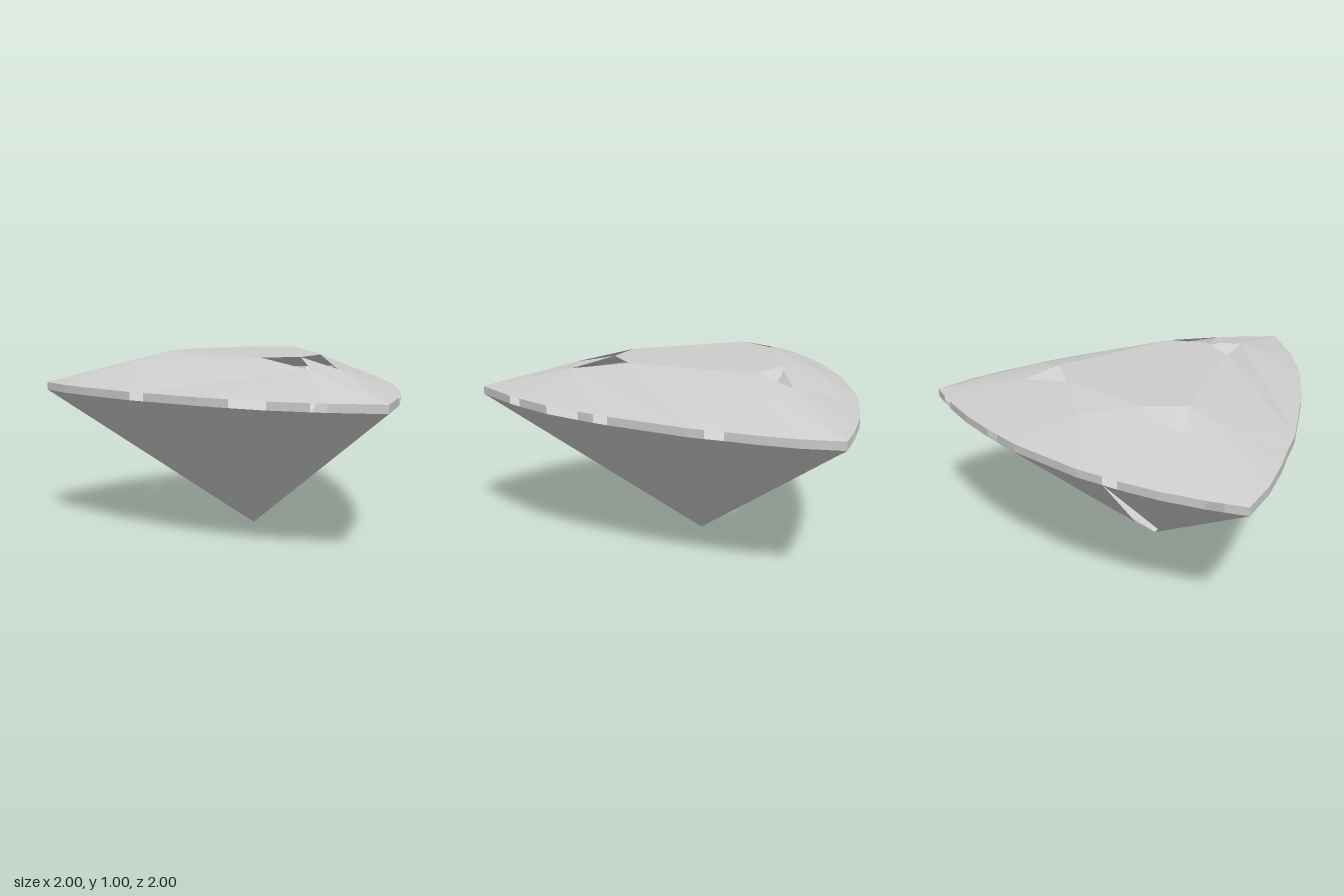
import * as THREE from 'three';

const TOP = 0.83, BOTTOM = 0.787;

// half of the girdle outline from back centre to front tip: x, z
const half = [
  [0, -1], [0.2, -1], [0.34, -0.98], [0.42, -0.97], [0.62, -0.93], [0.82, -0.87], [0.9, -0.84],
  [1, -0.8], [0.97, -0.6], [0.91, -0.4], [0.86, -0.27], [0.83, -0.18], [0.8, -0.1], [0.76, -0.02],
  [0.7, 0.1], [0.61, 0.28], [0.57, 0.35], [0.52, 0.43], [0.41, 0.6], [0.27, 0.76], [0.21, 0.82], [0, 1],
];
const outline = [...half, ...half.slice(1, -1).reverse().map(([x, z]) => [-x, z])];
const N = outline.length;

// open girdle segments, on both sides or on one side only
const gaps = new Set([10, 15, N - 1 - 12]);
for (const i of [2, 5, 17, 19]) gaps.add(i).add(N - 1 - i);

// main facets meet the girdle here; one table corner belongs to each
const mains = [2, 7, 12, 21, 30, 35, 40];
const tableCorners = [[0.24, -0.59], [0.42, -0.45], [0.19, 0.19], [0, 0.28], [-0.19, 0.19], [-0.42, -0.45], [-0.24, -0.59]]
  .map(([x, z]) => new THREE.Vector3(x, 1, z));
const starTips = [[0.52, 0.95, -0.62], [0.6, 0.96, -0.45], [0.08, 0.95, 0.5], [-0.08, 0.95, 0.5],
  [-0.6, 0.96, -0.45], [-0.52, 0.95, -0.62], [0, 0.955, -0.76]].map((p) => new THREE.Vector3(...p));
const openStars = [0, 2, 3, 5];
const openPavilionMain = 6;
const apex = new THREE.Vector3(0, 0.005, -0.2);
const centre = new THREE.Vector3(0, 0.7, -0.2);

const rim = (i, y) => new THREE.Vector3(outline[i % N][0], y, outline[i % N][1]);

// triangles collected by part, each wound to face away from the centre
function facets() {
  const points = [];
  return {
    add(a, b, c) {
      const normal = b.clone().sub(a).cross(c.clone().sub(a));
      const outward = normal.dot(a.clone().sub(centre)) >= 0;
      points.push(a, outward ? b : c, outward ? c : b);
    },
    mesh(name, material) {
      const geometry = new THREE.BufferGeometry().setFromPoints(points);
      geometry.computeVertexNormals();
      const mesh = new THREE.Mesh(geometry, material);
      mesh.name = name;
      return mesh;
    },
  };
}

export function createModel() {
  const stone = new THREE.MeshStandardMaterial({ color: 0xcccccc, side: THREE.DoubleSide, flatShading: true });
  stone.name = 'pale grey stone';
  const parts = {};
  for (const name of ['table', 'starFacets', 'crownMains', 'crownHalves', 'girdle', 'pavilionMains', 'pavilionHalves']) {
    parts[name] = facets();
  }
  const count = mains.length;

  // flat table on top
  for (let k = 1; k < count - 1; k++) parts.table.add(tableCorners[0], tableCorners[k], tableCorners[k + 1]);

  // low points of the pavilion, one between each pair of mains
  const lowPoints = mains.map((m, k) => {
    const a = rim(m, BOTTOM), b = rim(mains[(k + 1) % count], BOTTOM);
    const p = apex.clone().lerp(a.add(b).multiplyScalar(0.5), 0.19);
    p.x *= 1.12;
    p.z = apex.z + (p.z - apex.z) * 1.12;
    return p;
  });

  for (let k = 0; k < count; k++) {
    const next = (k + 1) % count, prev = (k + count - 1) % count;
    const corner = tableCorners[k], tip = starTips[k], low = lowPoints[k];
    if (!openStars.includes(k)) parts.starFacets.add(corner, tip, tableCorners[next]);

    // kite facets above and below the girdle
    const upper = rim(mains[k], TOP), lower = rim(mains[k], BOTTOM);
    parts.crownMains.add(corner, starTips[prev], upper);
    parts.crownMains.add(corner, upper, tip);
    if (k !== openPavilionMain) {
      parts.pavilionMains.add(apex, lowPoints[prev], lower);
      parts.pavilionMains.add(apex, lower, low);
    }

    // fans filling the arc to the next main
    const end = mains[next] > mains[k] ? mains[next] : mains[next] + N;
    for (let i = mains[k]; i < end; i++) {
      parts.crownHalves.add(tip, rim(i, TOP), rim(i + 1, TOP));
      parts.pavilionHalves.add(low, rim(i, BOTTOM), rim(i + 1, BOTTOM));
    }
  }

  // narrow girdle band with small openings
  for (let i = 0; i < N; i++) {
    if (gaps.has(i)) continue;
    parts.girdle.add(rim(i, BOTTOM), rim(i + 1, BOTTOM), rim(i + 1, TOP));
    parts.girdle.add(rim(i, BOTTOM), rim(i + 1, TOP), rim(i, TOP));
  }

  const model = new THREE.Group();
  model.name = 'cutGem';
  for (const [name, part] of Object.entries(parts)) model.add(part.mesh(name, stone));
  return model;
}
